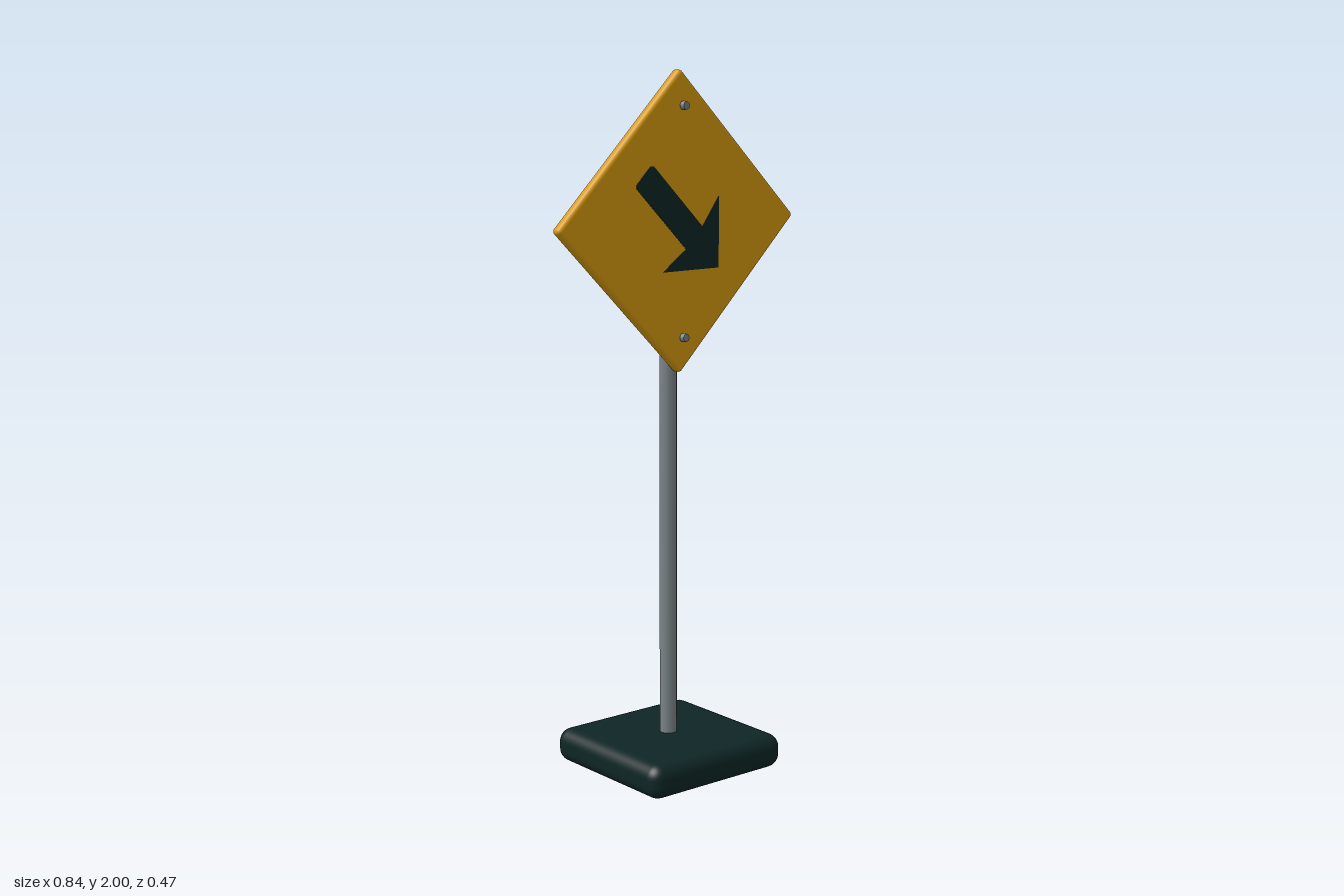
import * as THREE from 'three';
import { RoundedBoxGeometry } from 'three/addons/geometries/RoundedBoxGeometry.js';

function material(name, color) {
  const m = new THREE.MeshStandardMaterial({ color });
  m.name = name;
  return m;
}

export function createModel() {
  const model = new THREE.Group();
  model.name = 'roadSign';

  const yellow = material('signYellow', 0xd99c0f);
  const dark = material('darkRubber', 0x0f2626);
  const grey = material('steelGrey', 0x7a8488);

  const add = (name, geometry, mat, x, y, z) => {
    const mesh = new THREE.Mesh(geometry, mat);
    mesh.name = name;
    mesh.position.set(x, y, z);
    model.add(mesh);
    return mesh;
  };

  // Weighted foot
  add('base', new RoundedBoxGeometry(0.48, 0.1, 0.47, 4, 0.04), dark, 0, 0.05, 0);

  // Pole, standing inside the foot
  const poleBottom = 0.06, poleTop = 1.736;
  add('pole', new THREE.CylinderGeometry(0.025, 0.025, poleTop - poleBottom, 12), grey,
    0, (poleBottom + poleTop) / 2, -0.002);

  // Diamond panel
  const signY = 1.583;
  const panel = add('signPanel', new RoundedBoxGeometry(0.598, 0.598, 0.033, 4, 0.012), yellow,
    0, signY, 0.0365);
  panel.rotation.z = Math.PI / 4;

  // Arrow, drawn along +x with the tip at the origin, then turned down to the right
  const half = [
    [0, 0], [-0.142, 0.142], [-0.126, 0.042], [-0.372, 0.042], [-0.38, 0.034],
  ];
  const outline = [...half, ...half.slice(1).reverse().map(([x, y]) => [x, -y])];
  const arrowShape = new THREE.Shape(outline.map(([x, y]) => new THREE.Vector2(x, y)));
  const arrowGeometry = new THREE.ExtrudeGeometry(arrowShape, { depth: 0.003, bevelEnabled: false });
  // The barbs meet the tip at a right angle, so the tip is a square corner
  const arrow = add('arrow', arrowGeometry, dark, 0.137, 1.45, 0.0515);
  arrow.rotation.z = -Math.PI / 4;

  // Clamps that hold the panel to the pole
  for (const y of [1.713, 1.422]) {
    add('clamp', new RoundedBoxGeometry(0.19, 0.038, 0.074, 2, 0.005), dark, 0, y, -0.016);
  }

  // Bolt heads in front of the panel
  for (const y of [1.905, 1.265]) {
    const bolt = add('bolt', new THREE.CylinderGeometry(0.011, 0.013, 0.014, 12), grey, 0, y, 0.071);
    bolt.rotation.x = Math.PI / 2;
  }

  return model;
}
